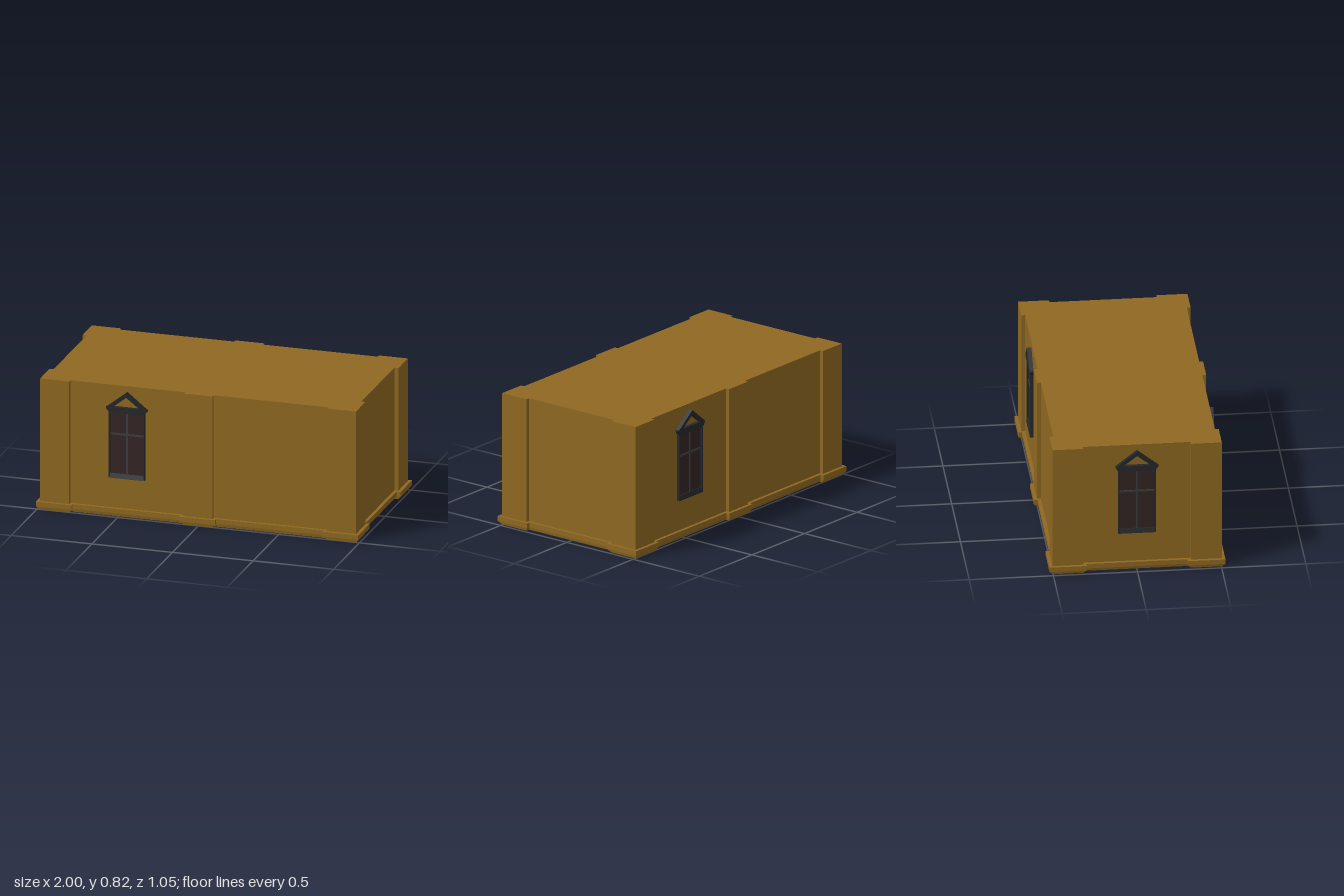
import * as THREE from 'three';

const mat = (color, extra = {}) => new THREE.MeshStandardMaterial({ color, ...extra });
const wallMat = mat(0x8f6821);
const plinthMat = mat(0x8f6821, { side: THREE.DoubleSide });
const frameMat = mat(0x26272a, { flatShading: true });
const barMat = mat(0x3c3b3e, { flatShading: true });
const glassMat = mat(0x332624, { flatShading: true });

const BASE = 0.054;   // top of the plinth and level of the floor
const TOP = 0.82;

// Footprint with corner and middle pilasters, grown outward by d
function footprint(d) {
  const X = 0.98 + d, Z = 0.503 + d;    // pilaster faces
  const x = 0.955 + d, z = 0.48 + d;    // recessed walls
  const cx = 0.8 - d, cz = 0.32 - d, m = 0.09 + d;
  const side = [[x, cz], [X, cz], [X, Z], [cx, Z], [cx, z], [m, z], [m, Z]];
  const half = [...side, ...side.map(([a, b]) => [-a, b]).reverse()];
  return [...half, ...half.map(([a, b]) => [-a, -b])];
}

// Surface lofted between footprints at [height, growth] levels
function loft(levels, closed) {
  const pos = [];
  const rings = levels.map(([y, d]) => footprint(d).map(([a, b]) => [a, y, b]));
  const n = rings[0].length;
  for (let l = 0; l + 1 < rings.length; l++) {
    for (let i = 0; i < n; i++) {
      const j = (i + 1) % n;
      const a = rings[l][i], b = rings[l][j], c = rings[l + 1][j], e = rings[l + 1][i];
      pos.push(...a, ...c, ...b, ...a, ...e, ...c);
    }
  }
  const cap = (ring, up) => {
    const pts = ring.map((p) => new THREE.Vector2(p[0], p[2]));
    for (const [a, b, c] of THREE.ShapeUtils.triangulateShape(pts, [])) {
      pos.push(...ring[a], ...ring[up ? c : b], ...ring[up ? b : c]);
    }
  };
  if (closed) {
    cap(rings[0], false);
    cap(rings[rings.length - 1], true);
  }
  const g = new THREE.BufferGeometry();
  g.setAttribute('position', new THREE.Float32BufferAttribute(pos, 3));
  g.computeVertexNormals();
  // Soften the shading of the chamfer toward that of the band above it
  const nor = g.attributes.normal;
  for (let i = 0; i < nor.count; i++) {
    if (Math.abs(nor.getY(i)) < 0.9) nor.setY(i, nor.getY(i) * 0.3);
  }
  g.normalizeNormals();
  return g;
}

// Window standing on the wall plane z = 0, facing +z
function makeWindow() {
  const g = new THREE.Group();
  const add = (name, geo, m) => {
    const mesh = new THREE.Mesh(geo, m);
    mesh.name = name;
    g.add(mesh);
    return mesh;
  };
  const bar = (name, x0, x1, y0, y1, depth, m = frameMat) =>
    add(name, new THREE.BoxGeometry(x1 - x0, y1 - y0, depth), m)
      .position.set((x0 + x1) / 2, (y0 + y1) / 2, depth / 2);

  bar('glass', -0.105, 0.105, 0.26, 0.665, 0.004, glassMat);
  for (const s of [-1, 1]) bar('frameSide', s * 0.108 - 0.004, s * 0.108 + 0.004, 0.245, 0.665, 0.018);
  bar('frameTop', -0.11, 0.11, 0.652, 0.665, 0.018);
  bar('mullion', -0.005, 0.005, 0.27, 0.655, 0.009, barMat);
  bar('transom', -0.104, 0.104, 0.512, 0.523, 0.009, barMat);

  // Sill with a sloping top
  const sill = new THREE.BoxGeometry(0.224, 0.028, 0.02);
  sill.translate(0, 0.258, 0.01);
  const sp = sill.attributes.position;
  for (let i = 0; i < sp.count; i++) if (sp.getY(i) > 0.265 && sp.getZ(i) > 0.01) sp.setZ(i, 0.011);
  add('sill', sill, frameMat);

  // Cornice that narrows toward its lower edge
  const corniceShape = new THREE.Shape([
    [-0.113, 0.66], [0.113, 0.66], [0.127, 0.678], [0.127, 0.688], [-0.127, 0.688], [-0.127, 0.678],
  ].map((p) => new THREE.Vector2(...p)));
  add('cornice', new THREE.ExtrudeGeometry(corniceShape, { depth: 0.022, bevelEnabled: false }), frameMat);

  // Open triangular pediment, leaning slightly outward
  const tri = (w, y0, y1) => [[-w, y0], [w, y0], [0, y1]].map((p) => new THREE.Vector2(...p));
  const ped = new THREE.Shape(tri(0.127, 0.684, 0.785));
  ped.holes.push(new THREE.Path(tri(0.084, 0.689, 0.756).reverse()));
  const pedGeo = new THREE.ExtrudeGeometry(ped, { depth: 0.023, bevelEnabled: false });
  const pp = pedGeo.attributes.position;
  for (let i = 0; i < pp.count; i++) {
    if (pp.getZ(i) > 0.01) pp.setZ(i, 0.023 + (pp.getY(i) - 0.684) * 0.05);
  }
  add('pediment', pedGeo, frameMat);
  return g;
}

export function createModel() {
  const model = new THREE.Group();
  model.name = 'building';

  // Closed body, with its floor raised to the top of the plinth
  const body = new THREE.Mesh(loft([[BASE, 0], [TOP, 0]], true), wallMat);
  body.name = 'walls';
  // Plinth skirt, chamfered below and open underneath
  const plinth = new THREE.Mesh(loft([[0, 0], [0.025, 0.02], [BASE, 0.02], [BASE, 0]], false), plinthMat);
  plinth.name = 'plinth';
  model.add(body, plinth);

  // One window on the front, the back and the right side
  for (const [name, x, z, turn] of [
    ['frontWindow', -0.445, 0.48, 0],
    ['backWindow', 0.445, -0.48, Math.PI],
    ['rightWindow', -0.955, 0, -Math.PI / 2],
  ]) {
    const w = makeWindow();
    w.name = name;
    w.position.set(x, 0, z);
    w.rotation.y = turn;
    model.add(w);
  }
  return model;
}
